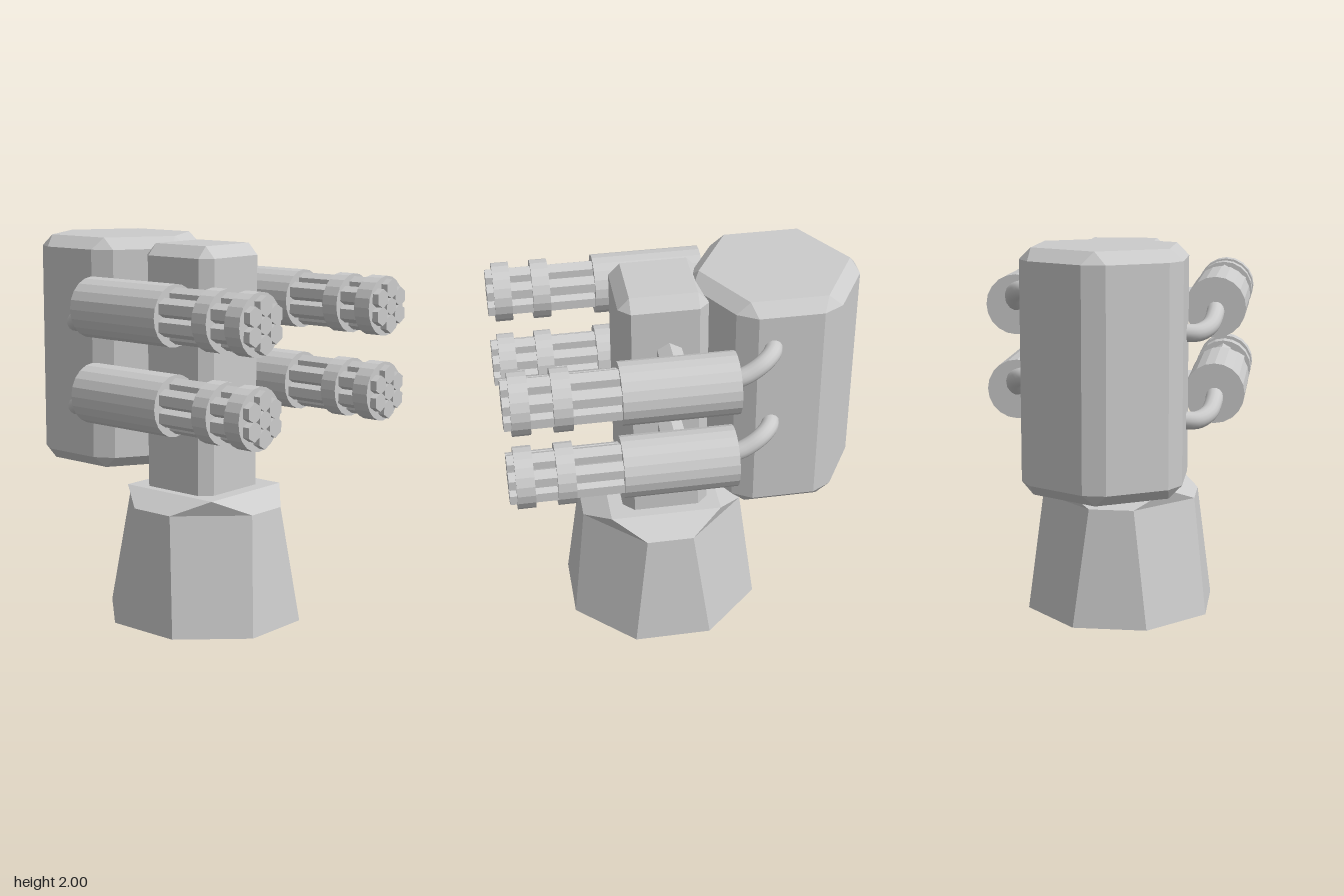
import * as THREE from 'three';

const flat = new THREE.MeshStandardMaterial({ color: 0xcccccc, flatShading: true });
const smooth = new THREE.MeshStandardMaterial({ color: 0xcccccc, side: THREE.DoubleSide });
const DEG = Math.PI / 180;

function part(parent, name, geometry, x = 0, y = 0, z = 0, material = flat) {
  const mesh = new THREE.Mesh(geometry, material);
  mesh.name = name;
  mesh.position.set(x, y, z);
  parent.add(mesh);
  return mesh;
}

// Ring of n corners, each split in two points that lie 'half' degrees to either side
function ring(n, firstAngle, y, radius, half = 0) {
  const points = [];
  for (let i = 0; i < n; i++) {
    for (const side of [-1, 1]) {
      const a = (firstAngle + (i * 360) / n + side * half) * DEG;
      points.push(new THREE.Vector3(radius * Math.cos(a), y, radius * Math.sin(a)));
    }
  }
  return points;
}

// Closed solid through rings listed from bottom to top
function loft(rings) {
  const out = [];
  const tri = (a, b, c) => {
    if (new THREE.Triangle(a, b, c).getArea() > 1e-7) for (const p of [a, b, c]) out.push(p);
  };
  const n = rings[0].length;
  for (let k = 0; k < rings.length - 1; k++) {
    const lo = rings[k], hi = rings[k + 1];
    for (let i = 0; i < n; i++) {
      const j = (i + 1) % n;
      tri(lo[i], hi[i], lo[j]);
      tri(lo[j], hi[i], hi[j]);
    }
  }
  const bottom = rings[0], top = rings[rings.length - 1];
  for (let i = 1; i < n - 1; i++) {
    tri(bottom[0], bottom[i], bottom[i + 1]);
    tri(top[0], top[i + 1], top[i]);
  }
  const geometry = new THREE.BufferGeometry().setFromPoints(out);
  geometry.computeVertexNormals();
  return geometry;
}

// Prism with every edge chamfered
function chamferedPrism(n, angle, y0, y1, bevel, innerRadius, outerRadius, half) {
  return loft([
    ring(n, angle, y0, innerRadius),
    ring(n, angle, y0 + bevel, outerRadius, half),
    ring(n, angle, y1 - bevel, outerRadius, half),
    ring(n, angle, y1, innerRadius),
  ]);
}

// Cylinder along z between two depths
function rod(radius, sides, z0, z1) {
  return new THREE.CylinderGeometry(radius, radius, z1 - z0, sides)
    .rotateX(Math.PI / 2)
    .translate(0, 0, (z0 + z1) / 2);
}

function createGun() {
  const gun = new THREE.Group();
  part(gun, 'gunHousing', rod(0.155, 20, -0.21, 0.36));
  part(gun, 'frontBarrelRing', rod(0.154, 20, 0.795, 0.885));
  part(gun, 'rearBarrelRing', rod(0.154, 20, 0.595, 0.685));

  // Cluster of seven hexagonal barrels
  part(gun, 'centreBarrel', rod(0.047, 6, 0.3, 0.92));
  for (let i = 0; i < 6; i++) {
    const a = (90 + i * 60) * DEG;
    part(gun, 'barrel', rod(0.05, 6, 0.3, 0.92), 0.089 * Math.cos(a), 0.089 * Math.sin(a));
  }

  // Hexagonal arm reaching the column
  const arm = new THREE.CylinderGeometry(0.071, 0.071, 0.31, 6)
    .rotateY(Math.PI / 2)
    .rotateZ(Math.PI / 2);
  part(gun, 'mountArm', arm, -0.255, 0, 0.07);

  // Feed hose bending round into the tank
  const path = new THREE.CatmullRomCurve3([
    new THREE.Vector3(0, 0, -0.16),
    new THREE.Vector3(0, 0.037, -0.26),
    new THREE.Vector3(-0.022, 0.08, -0.345),
    new THREE.Vector3(-0.075, 0.103, -0.4),
    new THREE.Vector3(-0.17, 0.1, -0.42),
  ]);
  part(gun, 'feedHose', new THREE.TubeGeometry(path, 20, 0.045, 14), 0, 0, 0, smooth);
  return gun;
}

export function createModel() {
  const model = new THREE.Group();
  model.name = 'gunTurret';

  // Tapered octagonal base ending in a square top
  const base = loft([
    ring(4, 45, 0, 0.53, 23),
    ring(4, 45, 0.62, 0.435, 29),
    ring(4, 45, 0.7, 0.405),
  ]);
  part(model, 'base', base, 0.005, 0, 0.097).scale.set(0.975, 1, 1.02);

  part(model, 'column', chamferedPrism(4, 45, 0.6, 1.975, 0.06, 0.24, 0.284, 8.2), 0, 0, 0.088);
  part(model, 'ammoTank', chamferedPrism(6, 30, 0.785, 2, 0.06, 0.385, 0.429, 7.8), 0.01, 0, -0.498);

  // Two guns on each side; the right pair is turned half round, so its hoses dip
  for (const side of [-1, 1]) {
    for (const [level, y] of [['upper', 1.665], ['lower', 1.223]]) {
      const gun = createGun();
      gun.name = level + (side > 0 ? 'LeftGun' : 'RightGun');
      gun.position.set(side * 0.512, y, 0);
      if (side < 0) gun.rotation.z = Math.PI;
      model.add(gun);
    }
  }
  return model;
}
